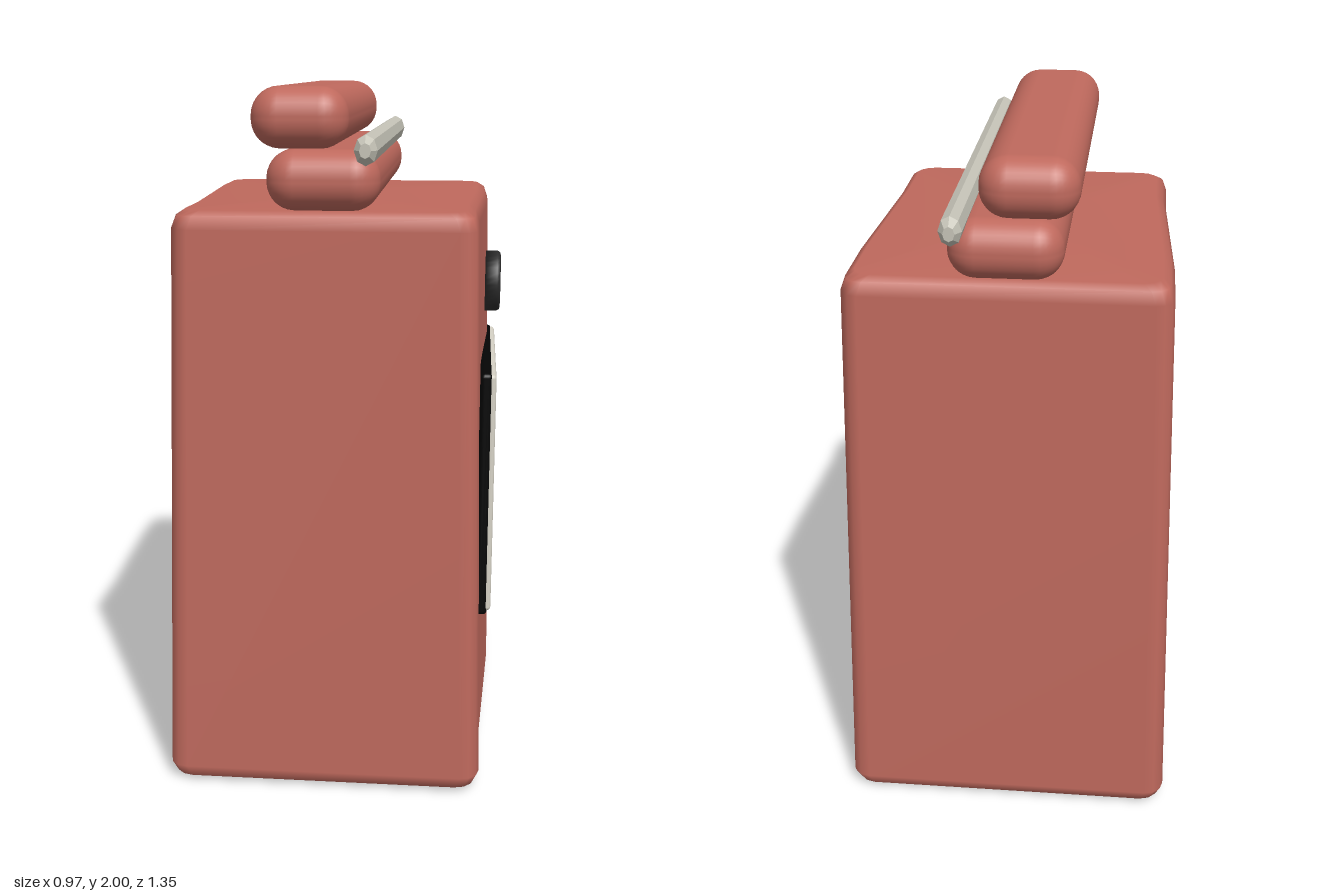
import * as THREE from 'three';
import { RoundedBoxGeometry } from 'three/addons/geometries/RoundedBoxGeometry.js';

const mat = (name, color) => {
  const m = new THREE.MeshStandardMaterial({ color });
  m.name = name;
  return m;
};

// Plan outline of the case: wider at the back, stepping in towards the front
function outline(inset) {
  const r = 0.055, back = 0.482 - inset, front = 0.455 - inset, depth = 0.603 - inset;
  const pts = [[back, -0.3], [front, 0.3]];
  const corner = (sx, sz, w, start) => {
    for (let i = 0; i < 4; i++) {
      const a = start + (i * Math.PI) / 6;
      pts.push([sx * (w - r) + r * Math.cos(a), sz * (depth - r) + r * Math.sin(a)]);
    }
  };
  corner(1, 1, front, 0);
  corner(-1, 1, front, Math.PI / 2);
  pts.push([-front, 0.3], [-back, -0.3]);
  corner(-1, -1, back, Math.PI);
  corner(1, -1, back, Math.PI * 1.5);
  return pts;
}

// Tapered case lofted from outlines, with softened top and bottom rims
function caseGeometry() {
  const H = 1.67;
  const levels = [[0, 0.042], [0.015, 0.015], [0.05, 0], [H - 0.05, 0], [H - 0.015, 0.012], [H, 0.035]];
  const pos = [], idx = [];
  let n = 0;
  for (const [y, inset] of levels) {
    const ring = outline(inset), t = y / H;
    n = ring.length;
    for (const [x, z] of ring) pos.push(x * (1 - 0.077 * t) - 0.005, y, z * (1 - 0.09 * t));
  }
  const last = (levels.length - 1) * n, bottom = levels.length * n, top = bottom + 1;
  pos.push(0, 0, 0, 0, H, 0);
  for (let i = 0; i < n; i++) {
    const j = (i + 1) % n;
    for (let k = 0; k < last; k += n) idx.push(k + i, k + n + i, k + j, k + j, k + n + i, k + n + j);
    idx.push(bottom, i, j, top, last + j, last + i);
  }
  const g = new THREE.BufferGeometry();
  g.setAttribute('position', new THREE.Float32BufferAttribute(pos, 3));
  g.setIndex(idx);
  g.computeVertexNormals();
  return g;
}

export function createModel() {
  const group = new THREE.Group();
  const red = mat('brick red', 0xbf695d);
  const pale = mat('warm white', 0xd6d2c6);
  const metal = mat('pale metal', 0xc6c4b8);
  const dark = mat('charcoal', 0x2c2c2c);
  const black = mat('black', 0x050505);

  const add = (name, geometry, material, x, y, z = 0) => {
    const m = new THREE.Mesh(geometry, material);
    m.name = name;
    m.position.set(x, y, z);
    group.add(m);
    return m;
  };

  add('body', caseGeometry(), red, 0, 0);

  // Two stacked rolls on top
  add('lowerRoll', new RoundedBoxGeometry(0.31, 0.165, 1.16, 4, 0.078), red, -0.005, 1.7525);
  add('upperRoll', new RoundedBoxGeometry(0.265, 0.165, 1.16, 4, 0.078), red, -0.0675, 1.9175);

  // Faceted rod with chamfered ends
  const rodProfile = [[0, -0.675], [0.5, -0.675], [1, -0.65], [1, 0.65], [0.5, 0.675], [0, 0.675]]
    .map(([r, y]) => new THREE.Vector2(r, y));
  const rodGeo = new THREE.LatheGeometry(rodProfile, 8).scale(0.031, 1, 0.04).rotateX(Math.PI / 2).toNonIndexed();
  rodGeo.computeVertexNormals();
  add('rod', rodGeo, metal, 0.12, 1.84);

  // Side panel with its dark backing
  add('panelBacking', new RoundedBoxGeometry(0.034, 0.73, 0.784, 2, 0.012), black, 0.446, 0.837);
  add('panel', new RoundedBoxGeometry(0.026, 0.715, 0.768, 2, 0.012), pale, 0.461, 0.841, 0.004);

  // Round knob above the panel
  const knobProfile = [[0, -0.025], [0.092, -0.025], [0.092, 0.01], [0.087, 0.018], [0.08, 0.02], [0, 0.02]]
    .map(([r, y]) => new THREE.Vector2(r, y));
  add('knob', new THREE.LatheGeometry(knobProfile, 32).rotateZ(-Math.PI / 2), dark, 0.463, 1.41);

  return group;
}
